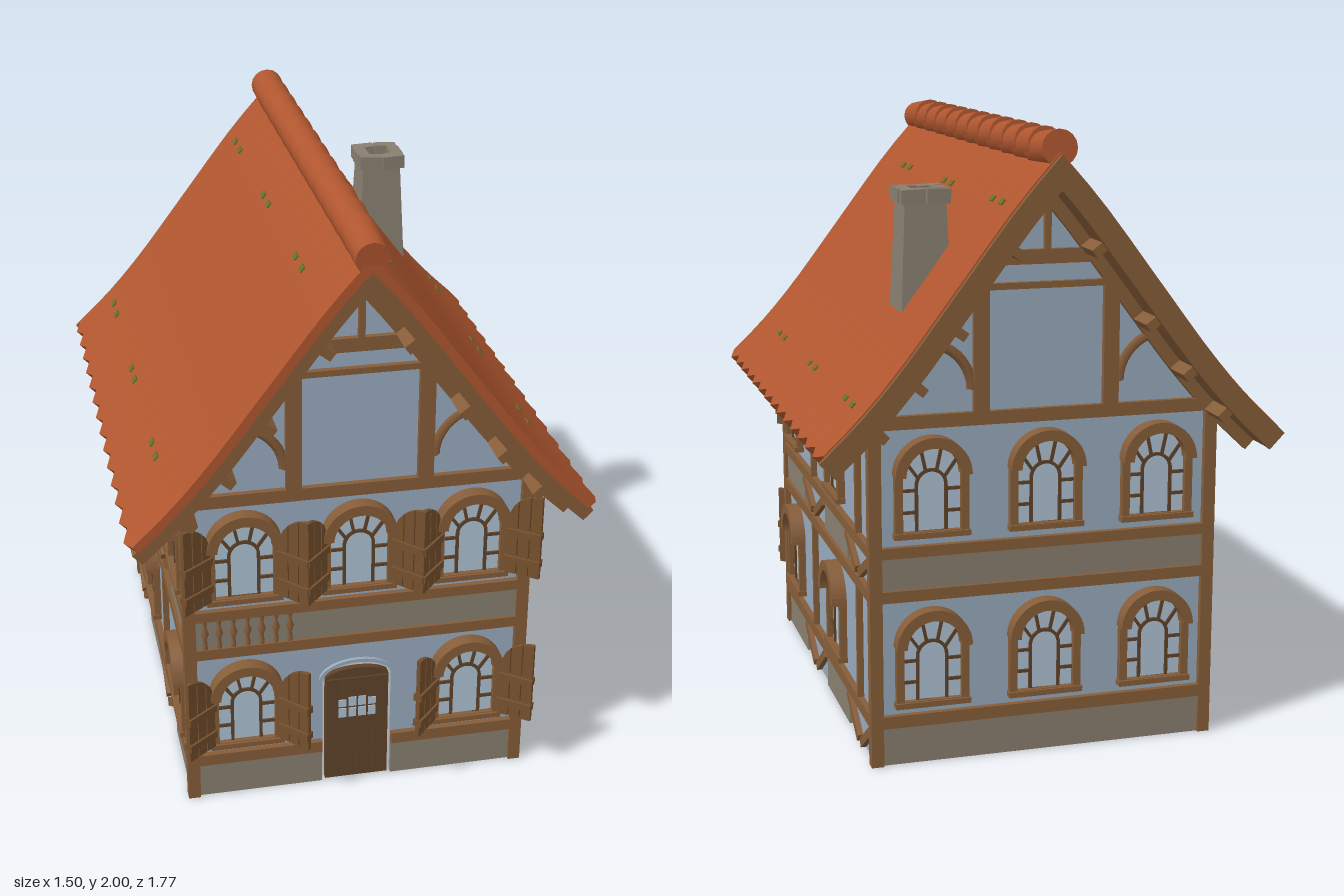
import * as THREE from 'three';

const mat = (name, color, side = THREE.FrontSide) => {
  const m = new THREE.MeshStandardMaterial({ color, side });
  m.name = name;
  return m;
};

export function createModel() {
  const wallMat = mat('plaster', 0x99abbf, THREE.DoubleSide), timber = mat('timber', 0x865d39);
  const stone = mat('stone', 0x897f70), tile = mat('roofTile', 0xb0562f);
  const glass = mat('glass', 0xaec3d3), dark = mat('darkWood', 0x5f422a);
  const shutterWood = mat('shutterWood', 0x76502d), moss = mat('moss', 0x66702c);
  const chimneyMat = mat('chimneyStone', 0x897f70, THREE.DoubleSide);
  const house = new THREE.Group();
  house.name = 'house';

  const add = (g, name, geo, m, x = 0, y = 0, z = 0) => {
    const mesh = new THREE.Mesh(geo, m);
    mesh.name = name;
    mesh.position.set(x, y, z);
    g.add(mesh);
    return mesh;
  };
  const extrude = (shape, z0, z1, steps = 1) =>
    new THREE.ExtrudeGeometry(shape, { depth: z1 - z0, bevelEnabled: false, curveSegments: 14, steps }).translate(0, 0, z0);
  // box given by its limits on a wall face
  const slab = (g, name, m, x0, x1, y0, y1, z0 = -0.004, z1 = 0.02) =>
    add(g, name, new THREE.BoxGeometry(Math.abs(x1 - x0), y1 - y0, z1 - z0), m, (x0 + x1) / 2, (y0 + y1) / 2, (z0 + z1) / 2);
  // slanted bar between two points on a wall face
  const strut = (g, name, m, x0, y0, x1, y1, w, depth) => {
    const b = add(g, name, new THREE.BoxGeometry(Math.hypot(x1 - x0, y1 - y0), w, depth), m, (x0 + x1) / 2, (y0 + y1) / 2, depth / 2);
    b.rotation.z = Math.atan2(y1 - y0, x1 - x0);
    return b;
  };
  const arch = (hw, y0, spring, rise = hw, S = THREE.Shape) => {
    const s = new S();
    s.moveTo(-hw, y0);
    s.lineTo(hw, y0);
    s.lineTo(hw, spring);
    s.absellipse(0, spring, hw, rise, 0, Math.PI, false, 0);
    s.lineTo(-hw, y0);
    return s;
  };
  const archFrame = (ow, oy, iw, iy, spring) => {
    const s = arch(ow, oy, spring);
    s.holes.push(arch(iw, iy, spring, iw, THREE.Path));
    return s;
  };

  // roof profile, offset inward by d
  const curve = new THREE.SplineCurve([[0, 1.93], [0.14, 1.77], [0.33, 1.52], [0.49, 1.31], [0.62, 1.16], [0.75, 1.035]]
    .map(p => new THREE.Vector2(...p)));
  const profile = d => Array.from({ length: 15 }, (_, i) => {
    const p = curve.getPoint(i / 14), t = curve.getTangent(i / 14);
    return i ? new THREE.Vector2(p.x + t.y * d, p.y - t.x * d) : new THREE.Vector2(0, p.y - 1.5 * d);
  });
  const both = pts => [...pts.slice(1).reverse().map(p => new THREE.Vector2(-p.x, p.y)), ...pts];
  const band = (d0, d1, z0, z1, steps) =>
    extrude(new THREE.Shape([...both(profile(d0)), ...both(profile(d1)).reverse()]), z0, z1, steps);

  // arched window with hood, sill and glazing bars
  const window_ = (g, x, y) => {
    const w = new THREE.Group();
    w.name = 'window';
    w.position.set(x, y, 0);
    g.add(w);
    add(w, 'windowGlass', extrude(arch(0.1, 0.005, 0.2), -0.005, 0.005), glass);
    add(w, 'windowFrame', extrude(archFrame(0.118, 0, 0.093, 0.02, 0.2), -0.012, 0.024), timber);
    const hood = new THREE.Shape();
    hood.absarc(0, 0.2, 0.122, 0, Math.PI, false);
    hood.absarc(0, 0.2, 0.088, Math.PI, 0, true);
    add(w, 'windowHood', extrude(hood, 0, 0.05), timber);
    slab(w, 'windowSill', timber, -0.122, 0.122, 0, 0.018, 0, 0.032);
    add(w, 'glazingArch', extrude(archFrame(0.052, 0.015, 0.042, 0.02, 0.165), -0.009, 0.012), dark);
    for (const s of [-1, 1]) for (const by of [0.075, 0.145])
      slab(w, 'glazingBar', dark, s * 0.047, s * 0.095, by, by + 0.01, -0.009, 0.012);
    for (const a of [0.5, 1.2, Math.PI - 1.2, Math.PI - 0.5])
      strut(w, 'glazingSpoke', dark, 0.048 * Math.cos(a), 0.165 + 0.048 * Math.sin(a),
        0.094 * Math.cos(a), 0.2 + 0.094 * Math.sin(a), 0.01, 0.012);
    return w;
  };

  // half-arched plank shutter, hinged at the window's edge and swung open
  const shutter = (w, s, angle) => {
    const g = new THREE.Group();
    g.name = 'shutter';
    g.position.set(s * 0.115, 0, 0.022);
    g.rotation.y = -s * angle;
    w.add(g);
    const top = x => 0.195 + Math.sqrt(Math.max(0, 0.0144 - (0.12 - x) ** 2));
    for (let i = 0; i < 3; i++) {
      const a = i * 0.04 + 0.002, b = a + 0.036, m = (a + b) / 2;
      const plank = new THREE.Shape([[a, 0.02], [b, 0.02], [b, top(b)], [m, top(m)], [a, top(a)]]
        .map(p => new THREE.Vector2(s * p[0], p[1])));
      add(g, 'shutterPlank', extrude(plank, 0, 0.014), shutterWood);
    }
    for (const y of [0.06, 0.16]) slab(g, 'shutterStrap', shutterWood, 0, s * 0.12, y, y + 0.025, -0.008, 0.022);
  };

  const face = (name, angle, dist) => {
    const g = new THREE.Group();
    g.name = name;
    g.rotation.y = angle;
    g.position.set(Math.sin(angle) * dist, 0, Math.cos(angle) * dist);
    house.add(g);
    return g;
  };

  // front and back gables
  const eaves = [...profile(0.07).filter(p => p.x < 0.54), new THREE.Vector2(0.55, 1.14)];
  for (const front of [true, false]) {
    const g = face(front ? 'frontGable' : 'backGable', front ? 0 : Math.PI, 0.735);
    const outline = new THREE.Shape();
    outline.moveTo(-0.55, 0);
    if (front) {
      outline.lineTo(-0.115, 0);
      outline.lineTo(-0.115, 0.4);
      outline.absellipse(0, 0.4, 0.115, 0.06, Math.PI, 0, true, 0);
      outline.lineTo(0.115, 0);
    }
    outline.lineTo(0.55, 0);
    both(eaves).reverse().forEach(p => outline.lineTo(p.x, p.y));
    add(g, 'gableWall', new THREE.ShapeGeometry(outline, 14), wallMat);
    for (const s of [-1, 1]) {
      const inner = front ? s * 0.118 : 0;
      slab(g, 'stoneBase', stone, inner, s * 0.535, 0, 0.125, 0.001, 0.009);
      slab(g, 'baseBeam', timber, inner, s * 0.57, 0.125, 0.165);
      slab(g, 'gablePost', timber, s * 0.185, s * 0.235, 1.13, 1.56);
      const brace = add(g, 'curvedBrace', new THREE.TorusGeometry(0.15, 0.016, 4, 10, Math.PI / 2), timber, s * 0.39, 1.2, 0.005);
      brace.rotation.z = s > 0 ? Math.PI / 2 : 0;
      // purlin ends under the overhang
      for (const t of [0.08, 0.27, 0.46, 0.62, 0.8]) {
        const p = curve.getPoint(t), q = curve.getTangent(t);
        const b = add(g, 'purlinEnd', new THREE.BoxGeometry(0.03, 0.04, 0.14), timber, s * (p.x + q.y * 0.095), p.y - q.x * 0.095, 0.06);
        b.rotation.z = s * Math.atan2(q.y, q.x);
      }
    }
    slab(g, 'stoneBand', stone, -0.535, 0.535, 0.575, 0.68, 0.001, 0.009);
    for (const [y0, y1, hw] of [[0.538, 0.575, 0.57], [0.68, 0.715, 0.57], [1.088, 1.13, 0.58], [1.505, 1.525, 0.19], [1.58, 1.625, 0.17]])
      slab(g, 'crossBeam', timber, -hw, hw, y0, y1);
    slab(g, 'kingPost', timber, -0.01, 0.01, 1.62, 1.84);
    for (const y of [0.19, 0.742]) for (const x of [-0.37, 0, 0.37]) {
      if (front && y < 0.5 && x === 0) continue;
      const w = window_(g, x, y);
      if (front) for (const s of [-1, 1]) shutter(w, s, s * x > 0 ? 0.65 : 0.82);
    }
    if (!front) continue;
    // carved balusters
    for (let i = 0; i < 7; i++) {
      const x = -0.5 + i * 0.046;
      const pts = [[0.008, 0], [0.008, 0.02], [0.005, 0.03], [0.013, 0.055], [0.005, 0.08], [0.009, 0.105]];
      add(g, 'baluster', new THREE.LatheGeometry(pts.map(p => new THREE.Vector2(...p)), 8), timber, x, 0.575, 0.01);
    }
    // door
    add(g, 'door', extrude(arch(0.106, 0.005, 0.4, 0.035), -0.014, 0.006), dark);
    for (let i = -2; i < 2; i++) slab(g, 'doorPlank', dark, i * 0.052 + 0.002, i * 0.052 + 0.05, 0.01, 0.4, 0, 0.012);
    for (let i = 0; i < 4; i++) for (let j = 0; j < 2; j++) {
      const x = (i - 1.5) * 0.033, y = 0.25 + j * 0.042;
      slab(g, 'doorPane', glass, x - 0.013, x + 0.013, y, y + (j && (i === 0 || i === 3) ? 0.027 : 0.035), 0.01, 0.015);
    }
    const trim = arch(0.127, 0, 0.4, 0.072);
    trim.holes.push(arch(0.115, -0.001, 0.4, 0.06, THREE.Path));
    const ring = new THREE.Shape();
    ring.absellipse(0, 0.4, 0.127, 0.072, 0, Math.PI, false, 0);
    ring.absellipse(0, 0.4, 0.115, 0.06, Math.PI, 0, true, 0);
    add(g, 'doorArch', extrude(ring, -0.02, 0.012), wallMat);
  }

  // long side walls; u maps z onto the face
  for (const side of [1, -1]) {
    const g = face(side > 0 ? 'leftSide' : 'rightSide', side * Math.PI / 2, 0.55), u = z => -side * z;
    const wall = new THREE.PlaneGeometry(1.47, 1.14);
    add(g, 'sideWall', wall, wallMat, 0, 0.57, 0);
    for (const [y0, y1] of [[0.125, 0.165], [0.538, 0.575], [0.68, 0.715], [1.07, 1.11]])
      slab(g, 'sideBeam', timber, -0.735, 0.735, y0, y1);
    for (const y of [0, 0.575]) {
      const h = y ? 0.105 : 0.125;
      for (const [a, b] of [[0.72, 0.37], [0, -0.37]]) slab(g, 'stonePanel', stone, u(a), u(b), y, y + h, 0.001, 0.009);
      for (const c of [0.185, -0.55]) for (const s of [-1, 1])
        strut(g, 'vBrace', timber, u(c + s * 0.02), y + 0.012, u(c + s * 0.175), y + h - 0.01, 0.03, 0.018);
    }
    for (const z of [0.185, -0.55]) {
      slab(g, 'sideStud', timber, u(z - 0.01), u(z + 0.01), 0.165, 0.538);
      slab(g, 'sideStud', timber, u(z - 0.01), u(z + 0.01), 0.715, 1.07);
    }
    for (const y of [0.19, 0.742]) for (const z of [0.55, -0.185]) window_(g, u(z), y);
    for (const z of [-0.735, 0.735])
      add(house, 'cornerPost', new THREE.BoxGeometry(0.04, 1.1, 0.04), timber, side * 0.55, 0.55, z);
  }

  // tile covering with a scalloped eave
  const roof = band(0, 0.03, -0.868, 0.878, 28), pos = roof.attributes.position;
  for (let i = 0; i < pos.count; i++) {
    const x = pos.getX(i), step = Math.round((pos.getZ(i) + 0.868) / 1.746 * 28);
    if (step % 2) continue;
    pos.setY(i, pos.getY(i) - 0.002);
    if (Math.abs(x) > 0.715) pos.setXYZ(i, x - Math.sign(x) * 0.02, pos.getY(i) + 0.018, pos.getZ(i));
  }
  roof.computeVertexNormals();
  add(house, 'roofTiles', roof, tile);
  add(house, 'roofBoards', band(0.03, 0.075, -0.87, 0.865), timber);
  add(house, 'backBargeboard', band(0.006, 0.077, -0.885, -0.868), timber);
  for (const z of [-0.755, 0.735]) add(house, 'gableRafter', band(0.075, 0.115, z, z + 0.02), timber);

  // overlapping ridge caps
  for (let i = 0; i < 12; i++) {
    const cap = add(house, 'ridgeCap', new THREE.CylinderGeometry(0.056, 0.052, 0.2, 16), tile, 0, 1.932, 0.78 - i * 0.14);
    cap.rotation.x = -Math.PI / 2 + 0.08;
  }

  // moss patches
  for (const s of [-1, 1]) for (const t of [0.2, 0.785]) for (const z of [0.53, 0.43, -0.05, -0.145, -0.63, -0.73]) {
    const p = curve.getPoint(t), q = curve.getTangent(t);
    const b = add(house, 'mossPatch', new THREE.BoxGeometry(0.02, 0.008, 0.035), moss, s * p.x, p.y, z);
    b.rotation.z = s * Math.atan2(q.y, q.x);
  }

  // hollow tapered chimney with a ring of cap stones
  const shaft = new THREE.CylinderGeometry(0.066 * Math.SQRT2, 0.083 * Math.SQRT2, 0.36, 4, 1, true).rotateY(Math.PI / 4).toNonIndexed();
  shaft.computeVertexNormals();
  add(house, 'chimneyShaft', shaft, chimneyMat, 0.328, 1.58, -0.462);
  for (const [x, z, w, d, tilt] of [[-0.04, -0.061, 0.077, 0.042, 0.03], [0.04, -0.061, 0.077, 0.042, -0.04], [-0.04, 0.061, 0.077, 0.042, -0.05],
    [0.04, 0.061, 0.077, 0.042, 0.04], [-0.06, 0, 0.042, 0.078, 0.02], [0.06, 0, 0.042, 0.078, -0.02]])
    add(house, 'chimneyCapStone', new THREE.BoxGeometry(w, 0.046, d), stone, 0.328 + x, 1.772, -0.462 + z).rotation.set(tilt / 2, tilt, tilt);

  return house;
}
